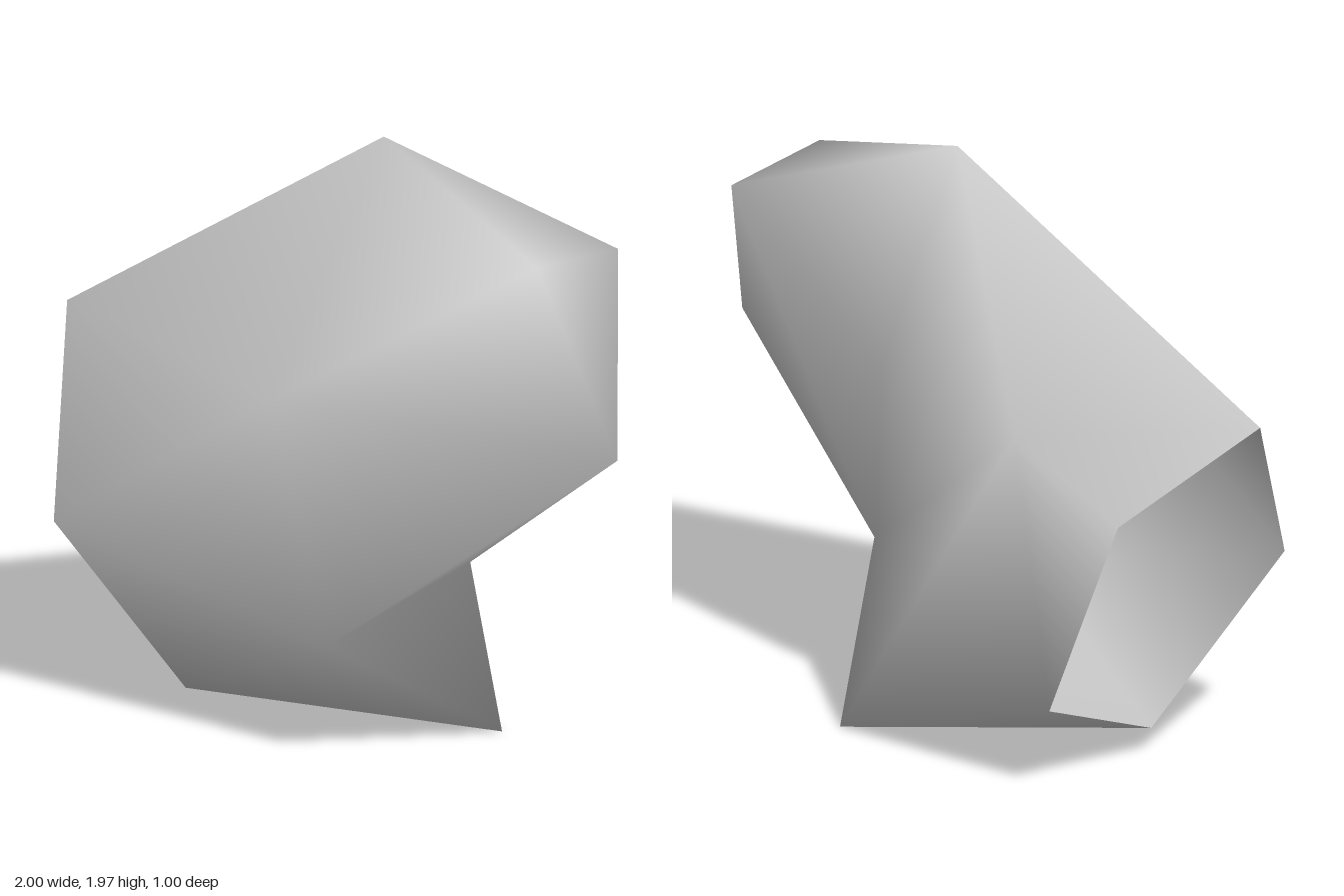
import * as THREE from 'three';

// Smooth low-poly bent shell, open at its lower left rim.
const corners = {
  // five-sided open rim
  A: [-1.0, 1.25, 0.18], P: [-0.74, 0.67, 0.5], G: [-0.5, 0.09, 0.16],
  Q: [-0.6, 0.31, -0.34], H: [-0.93, 1.03, -0.34],
  // middle of the bend
  B: [0.03, 1.97, -0.18], p: [0.13, 1.28, 0.41], E: [0.21, 0.44, 0.25],
  F: [0.3, 0.0, -0.43], h: [-0.61, 1.27, -0.49],
  // closed far end and the hollow behind it
  C: [0.765, 1.743, -0.12], D: [1.0, 1.136, -0.235], X: [0.74, 1.7, -0.5],
  N: [0.3, 0.6, -0.29], R: [0.15, 1.25, -0.39],
};

const panels = {
  front: 'APp ApB PGE PEp GFE',
  underside: 'GQF EFN END',
  farEnd: 'BpC pDC pED CDX DNX BCX',
  back: 'BXR XNR RNh NFh FQh QHh HAh ABh BRh',
};

// Smooth normals: each face counts by its angle at the corner.
function angleWeightedNormals(points, faces) {
  const normals = points.map(() => new THREE.Vector3());
  for (const face of faces) {
    const tri = new THREE.Triangle(...face.map((i) => points[i]));
    const normal = tri.getNormal(new THREE.Vector3());
    face.forEach((i, k) => {
      const toNext = points[face[(k + 1) % 3]].clone().sub(points[i]);
      const toLast = points[face[(k + 2) % 3]].clone().sub(points[i]);
      normals[i].addScaledVector(normal, toNext.angleTo(toLast));
    });
  }
  return normals.map((n) => n.normalize());
}

function shellGeometry() {
  const names = Object.keys(corners);
  const points = Object.values(corners).map((c) => new THREE.Vector3(...c));
  const faces = Object.values(panels)
    .flatMap((list) => list.split(' '))
    .map((face) => [...face].map((c) => names.indexOf(c)));
  const normals = angleWeightedNormals(points, faces);

  const geometry = new THREE.BufferGeometry().setFromPoints(points);
  geometry.setAttribute('normal',
    new THREE.Float32BufferAttribute(normals.flatMap((n) => n.toArray()), 3));
  geometry.setIndex(faces.flat());
  return geometry;
}

export function createModel() {
  const grey = new THREE.MeshStandardMaterial({ color: 0xcccccc, side: THREE.DoubleSide });
  grey.name = 'light grey';

  const shell = new THREE.Mesh(shellGeometry(), grey);
  shell.name = 'bentShell';

  const model = new THREE.Group();
  model.name = 'model';
  model.add(shell);
  return model;
}
